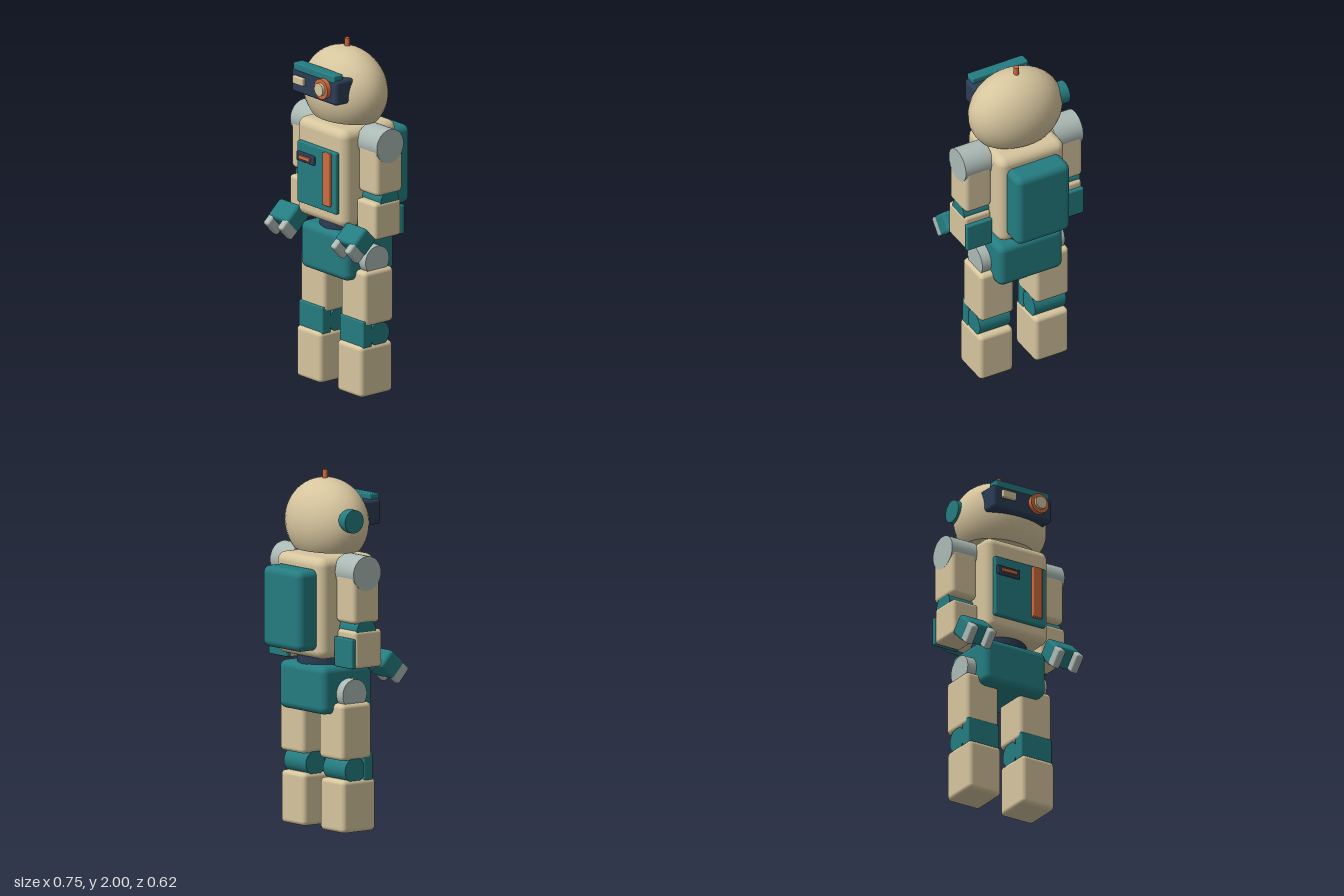
import * as THREE from 'three';
import { RoundedBoxGeometry } from 'three/addons/geometries/RoundedBoxGeometry.js';

function material(name, color) {
  const m = new THREE.MeshStandardMaterial({ color });
  m.name = name;
  return m;
}

export function createModel() {
  const robot = new THREE.Group();
  robot.name = 'robot';

  const tan = material('tan shell', 0xd6c59e);
  const teal = material('teal panel', 0x247c81);
  const navy = material('navy trim', 0x2b3c54);
  const orange = material('orange accent', 0xcf6b3e);
  const grey = material('grey joint', 0xabb9b4);

  const add = (parent, name, geometry, mat) => {
    const mesh = new THREE.Mesh(geometry, mat);
    mesh.name = name;
    parent.add(mesh);
    return mesh;
  };

  // Rounded box given by its extents along each axis
  const box = (parent, name, mat, [x0, x1], [y0, y1], [z0, z1], r = 0.02) => {
    const mesh = add(parent, name, new RoundedBoxGeometry(x1 - x0, y1 - y0, z1 - z0, 3, r), mat);
    mesh.position.set((x0 + x1) / 2, (y0 + y1) / 2, (z0 + z1) / 2);
    return mesh;
  };

  // Cylinder along 'x', 'y' or 'z', from a to b on that axis
  const rod = (parent, name, mat, axis, r, a, b, [x, y, z]) => {
    const g = new THREE.CylinderGeometry(r, r, b - a, 32);
    if (axis === 'x') g.rotateZ(Math.PI / 2);
    if (axis === 'z') g.rotateX(Math.PI / 2);
    const mesh = add(parent, name, g, mat);
    mesh.position.set(x, y, z);
    mesh.position[axis] = (a + b) / 2;
    return mesh;
  };

  // Head: ellipsoid cut flat at the neck
  const head = new THREE.Group();
  head.name = 'head';
  robot.add(head);
  const cut = Math.acos(-0.63);
  const skull = new THREE.Group();
  skull.name = 'skull';
  skull.position.set(0, 1.71, 0.018);
  skull.scale.set(0.28, 0.245, 0.2);
  head.add(skull);
  add(skull, 'skullDome', new THREE.SphereGeometry(1, 32, 20, 0, Math.PI * 2, 0, cut), tan);
  const base = add(skull, 'skullBase', new THREE.CircleGeometry(Math.sin(cut), 32), tan);
  base.rotation.x = Math.PI / 2;
  base.position.y = Math.cos(cut);
  rod(head, 'antenna', orange, 'y', 0.015, 1.94, 2.0, [0, 0, 0.006]);
  rod(head, 'earDisc', teal, 'x', 0.065, -0.293, -0.2, [0, 1.743, -0.02]);

  // Visor with lens and slit
  box(head, 'visor', navy, [-0.195, 0.195], [1.693, 1.835], [0.1, 0.25], 0.02);
  box(head, 'visorBrow', teal, [-0.177, 0.177], [1.822, 1.865], [0.182, 0.25], 0.008);
  rod(head, 'lensRing', orange, 'z', 0.058, 0.24, 0.277, [0.095, 1.777, 0]);
  rod(head, 'lens', tan, 'z', 0.037, 0.26, 0.293, [0.095, 1.777, 0]);
  box(head, 'visorSlit', tan, [-0.15, -0.06], [1.755, 1.8], [0.255, 0.28], 0.006);

  // Torso, chest panel and backpack
  const body = new THREE.Group();
  body.name = 'body';
  robot.add(body);
  box(body, 'torso', tan, [-0.209, 0.209], [0.97, 1.538], [-0.188, 0.205], 0.05);
  box(body, 'chestPanel', teal, [-0.167, 0.167], [1.055, 1.41], [0.19, 0.228], 0.008);
  box(body, 'chestStripe', orange, [0.072, 0.132], [1.095, 1.4], [0.2, 0.247], 0.005);
  box(body, 'chestSlot', navy, [-0.16, -0.01], [1.3, 1.353], [0.2, 0.241], 0.006);
  box(body, 'chestSlotBar', orange, [-0.133, -0.035], [1.315, 1.338], [0.22, 0.25], 0.004);
  box(body, 'backpack', teal, [-0.17, 0.17], [1.02, 1.475], [-0.313, -0.16], 0.04);
  rod(body, 'waist', navy, 'y', 0.155, 0.88, 1.02, [0, 0, 0.005]);
  box(body, 'pelvis', teal, [-0.205, 0.205], [0.66, 0.93], [-0.17, 0.183], 0.04);

  // Mirrored limbs, built on the +x side; every part is symmetric in itself
  for (const side of [1, -1]) {
    const label = side > 0 ? 'left' : 'right';
    const span = (a, b) => (side > 0 ? [a, b] : [-b, -a]);

    const arm = new THREE.Group();
    arm.name = label + 'Arm';
    robot.add(arm);
    rod(arm, 'shoulder', grey, 'x', 0.097, ...span(0.2, 0.373), [0, 1.46, 0.008]);
    box(arm, 'upperArm', tan, span(0.206, 0.372), [1.18, 1.455], [-0.086, 0.102], 0.025);
    rod(arm, 'elbow', teal, 'x', 0.066, ...span(0.21, 0.368), [0, 1.14, 0.006]);
    box(arm, 'forearm', tan, span(0.206, 0.372), [0.93, 1.142], [-0.076, 0.115], 0.02);
    box(arm, 'forearmPlate', teal, span(0.21, 0.372), [0.933, 1.1], [-0.1, -0.07], 0.008);

    // Hand tilted forward and down, with two prongs
    const hand = new THREE.Group();
    hand.name = label + 'Hand';
    hand.position.set(side * 0.288, 0.935, 0.188);
    hand.rotation.x = 0.74;
    arm.add(hand);
    box(hand, 'palm', teal, [-0.086, 0.086], [-0.06, 0.06], [-0.063, 0.063], 0.02);
    for (const x of [-0.06, 0.06])
      box(hand, 'finger', grey, [x - 0.023, x + 0.023], [-0.055, 0.055], [0.03, 0.113], 0.012);

    const leg = new THREE.Group();
    leg.name = label + 'Leg';
    robot.add(leg);
    rod(leg, 'hip', grey, 'x', 0.085, ...span(0.12, 0.262), [0, 0.77, 0.008]);
    box(leg, 'thigh', tan, span(0.069, 0.282), [0.405, 0.722], [-0.097, 0.115], 0.025);
    rod(leg, 'knee', teal, 'x', 0.07, ...span(0.077, 0.274), [0, 0.347, 0]);
    box(leg, 'kneePad', teal, span(0.073, 0.278), [0.283, 0.44], [0.06, 0.124], 0.008);
    box(leg, 'shin', tan, span(0.069, 0.283), [0, 0.295], [-0.09, 0.143], 0.025);
  }

  return robot;
}
